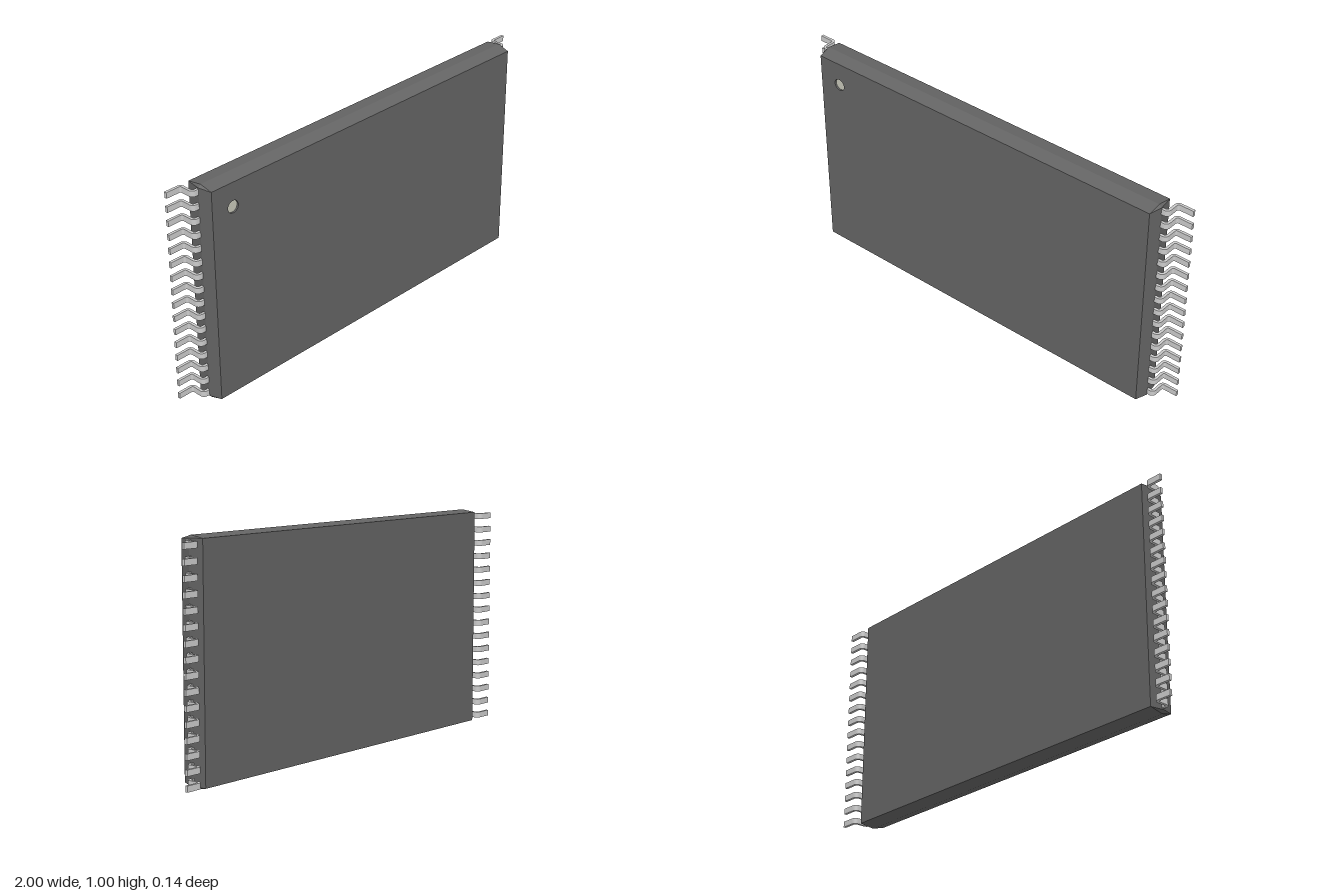
import * as THREE from 'three';

const MID = 0.5; // height of the package centre
const DOT = { x: -0.775, y: 0.877, r: 0.027, depth: 0.008 };
const Z_FRONT = 0.068, Z_MID = 0.012, Z_BACK = -0.055;

// Rectangle outline with cut corners, counter-clockwise seen from the front
function ring(hx, hy, cut, z) {
  return [
    [hx, -hy + cut], [hx, hy - cut], [hx - cut, hy], [-hx + cut, hy],
    [-hx, hy - cut], [-hx, -hy + cut], [-hx + cut, -hy], [hx - cut, -hy],
  ].map(([x, y]) => new THREE.Vector3(x, y + MID, z));
}

// Flat-sided shell through a stack of rings, front to back
function loft(rings) {
  const pos = [];
  const tri = (a, b, c) => {
    if (new THREE.Triangle(a, b, c).getArea() > 1e-9) pos.push(...a, ...b, ...c);
  };
  for (let k = 0; k < rings.length - 1; k++) {
    const f = rings[k], b = rings[k + 1];
    for (let i = 0; i < 8; i++) {
      const j = (i + 1) % 8;
      tri(f[i], b[i], b[j]);
      tri(f[i], b[j], f[j]);
    }
  }
  const geo = new THREE.BufferGeometry();
  geo.setAttribute('position', new THREE.Float32BufferAttribute(pos, 3));
  geo.computeVertexNormals();
  return geo;
}

// Gull-wing lead: profile in plan, extruded along the height
function leadGeometry(width) {
  const H = Math.PI / 2;
  const s = new THREE.Shape();
  s.moveTo(0.885, -0.012);
  s.lineTo(0.91, -0.012);
  s.absarc(0.91, 0.008, 0.02, -H, 0, false);
  s.lineTo(0.93, 0.047);
  s.absarc(0.938, 0.047, 0.008, Math.PI, H, true);
  s.lineTo(1, 0.055);
  s.lineTo(1, 0.067);
  s.lineTo(0.938, 0.067);
  s.absarc(0.938, 0.047, 0.02, H, Math.PI, false);
  s.lineTo(0.918, 0.008);
  s.absarc(0.91, 0.008, 0.008, 0, -H, true);
  s.lineTo(0.885, 0);
  s.closePath();
  const geo = new THREE.ExtrudeGeometry(s, { depth: width, bevelEnabled: false, curveSegments: 6 });
  geo.translate(0, 0, -width / 2);
  geo.rotateX(-H);
  return geo;
}

export function createModel() {
  const model = new THREE.Group();
  model.name = 'chipPackage';
  const plastic = new THREE.MeshStandardMaterial({ color: 0x646464 });
  const plasticInside = new THREE.MeshStandardMaterial({ color: 0x646464, side: THREE.BackSide });
  const metal = new THREE.MeshStandardMaterial({ color: 0xcccccc });
  const dotMat = new THREE.MeshStandardMaterial({ color: 0xc6c6b8 });

  const add = (parent, name, geo, mat) => {
    const mesh = new THREE.Mesh(geo, mat);
    mesh.name = name;
    parent.add(mesh);
    return mesh;
  };

  // Body: drafted sides meeting at a parting line
  const body = new THREE.Group();
  body.name = 'body';
  model.add(body);
  const front = ring(0.882, 0.484, 0, Z_FRONT);
  const back = ring(0.889, 0.49, 0, Z_BACK);
  add(body, 'bodySides', loft([front, ring(0.898, 0.5, 0.012, Z_MID), back]), plastic);

  // Front face with a round opening for the marker
  const corners = (r) => [r[0], r[1], r[4], r[5]].map((p) => new THREE.Vector2(p.x, p.y));
  const face = new THREE.Shape(corners(front));
  face.holes.push(new THREE.Path().absarc(DOT.x, DOT.y, DOT.r, 0, Math.PI * 2, true));
  add(body, 'frontFace', new THREE.ShapeGeometry(face, 16), plastic).position.z = Z_FRONT;

  const backFace = new THREE.ShapeGeometry(new THREE.Shape(corners(back)));
  backFace.rotateY(Math.PI);
  add(body, 'backFace', backFace, plastic).position.z = Z_BACK;

  // Shallow first-pin marker
  const wall = new THREE.CylinderGeometry(DOT.r, DOT.r, DOT.depth, 32, 1, true).rotateX(Math.PI / 2);
  add(body, 'markerWall', wall, plasticInside).position.set(DOT.x, DOT.y, Z_FRONT - DOT.depth / 2);
  add(body, 'pinMarker', new THREE.CircleGeometry(DOT.r, 32), dotMat)
    .position.set(DOT.x, DOT.y, Z_FRONT - DOT.depth);

  // Sixteen leads on each side
  const COUNT = 16, PITCH = 0.0626;
  const geo = leadGeometry(0.026);
  for (const side of ['left', 'right']) {
    const row = new THREE.Group();
    row.name = side + 'Leads';
    row.position.y = MID;
    if (side === 'right') row.rotation.z = Math.PI;
    for (let i = 0; i < COUNT; i++) {
      add(row, side + 'Lead' + (i + 1), geo, metal).position.y = (i - (COUNT - 1) / 2) * PITCH;
    }
    model.add(row);
  }
  return model;
}
